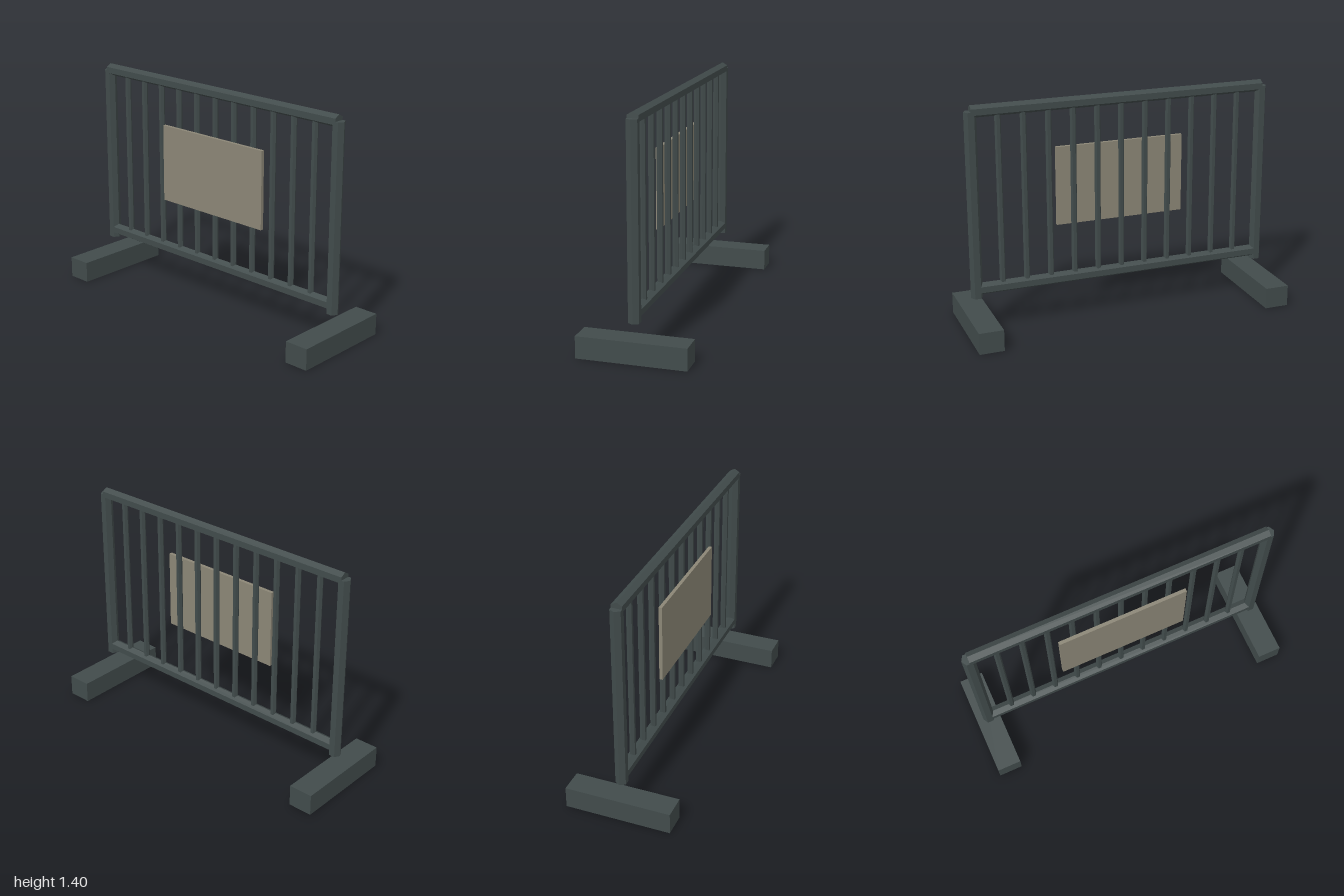
import * as THREE from 'three';

export function createModel() {
  const group = new THREE.Group();
  const steel = new THREE.MeshStandardMaterial({ color: 0x414b4b, flatShading: true });
  steel.name = 'dark grey steel';
  const board = new THREE.MeshStandardMaterial({ color: 0x8b8676, flatShading: true });
  board.name = 'beige board';

  const add = (name, geometry, material, x, y, z) => {
    const mesh = new THREE.Mesh(geometry, material);
    mesh.name = name;
    mesh.position.set(x, y, z);
    group.add(mesh);
    return mesh;
  };

  // Hexagonal tube with flat faces towards front and back
  const hexTube = (radius, length) =>
    new THREE.CylinderGeometry(radius, radius, length, 6, 1, false, Math.PI / 2);

  const postX = 0.922, railTop = 1.36, railBottom = 0.273;

  // End posts and the separate foot blocks below them
  for (const [side, s] of [['left', 1], ['right', -1]]) {
    add(side + 'Post', hexTube(0.0375, 1.14), steel, s * postX, 0.79, 0);
    add(side + 'Foot', new THREE.BoxGeometry(0.15, 0.132, 0.65), steel, s * 0.925, 0.066, 0);
  }

  // Horizontal rails
  for (const [name, y] of [['topRail', railTop], ['bottomRail', railBottom]]) {
    add(name, hexTube(0.0375, postX * 2), steel, 0, y, 0).rotation.z = Math.PI / 2;
  }

  // Vertical bars
  const barGeometry = hexTube(0.019, railTop - railBottom);
  for (let i = -5; i <= 5; i++) {
    add('bar' + (i + 6), barGeometry, steel, i * 0.152, (railTop + railBottom) / 2, 0);
  }

  // Sign board on the front of the bars
  add('signBoard', new THREE.BoxGeometry(0.81, 0.487, 0.021), board, 0, 0.848, 0.0305);

  return group;
}
